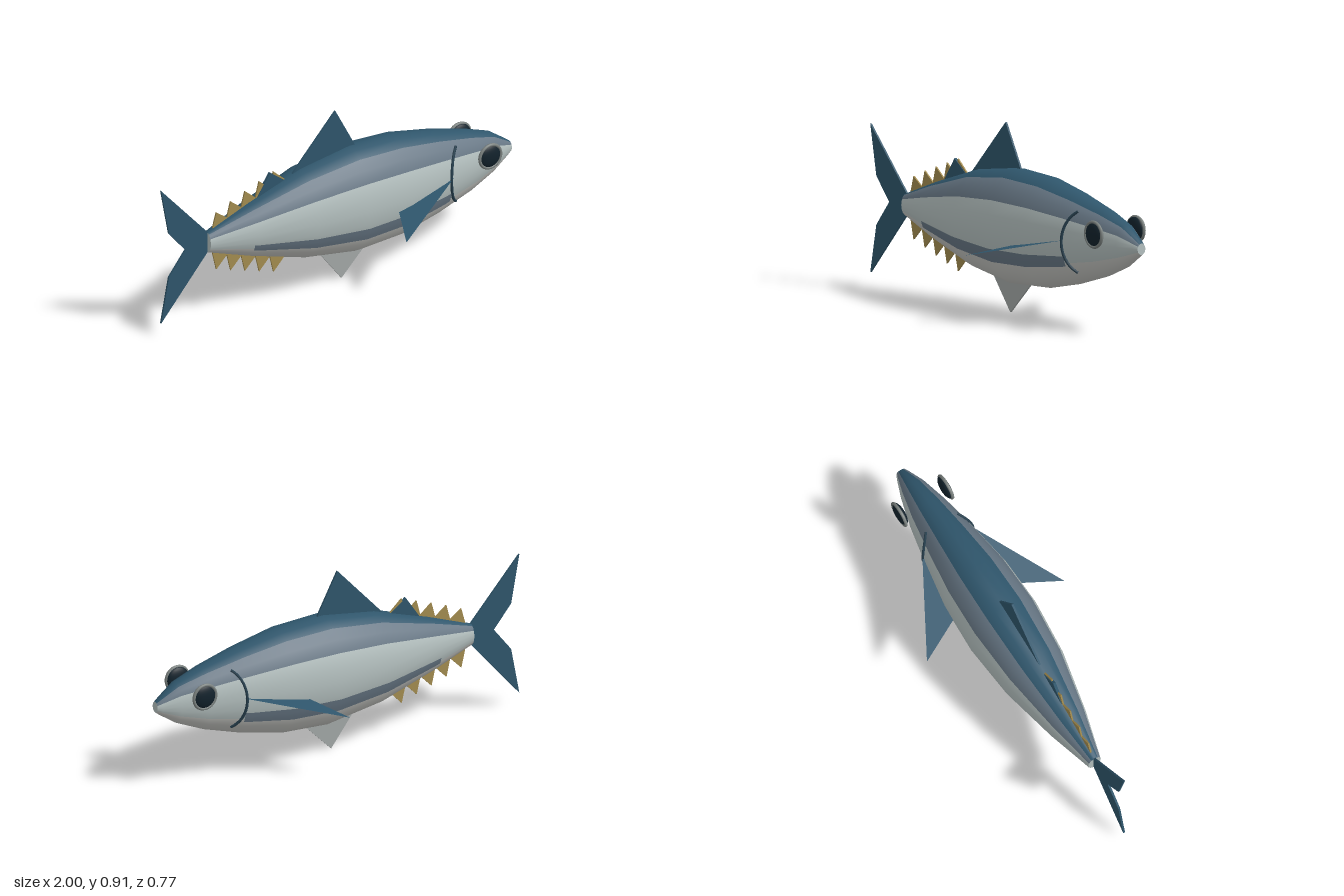
import * as THREE from 'three';

const mat = (name, color, side = THREE.FrontSide) => {
  const m = new THREE.MeshStandardMaterial({ color, side });
  m.name = name;
  return m;
};

// Body stations: x, top y, bottom y, half width
const STATIONS = [
  [-0.735, 0.478, 0.37, 0.035], [-0.5, 0.565, 0.285, 0.1], [-0.2, 0.66, 0.19, 0.163],
  [0.08, 0.7, 0.142, 0.187], [0.33, 0.685, 0.152, 0.177], [0.55, 0.638, 0.198, 0.143],
  [0.75, 0.582, 0.258, 0.105], [0.89, 0.53, 0.318, 0.068], [0.975, 0.468, 0.375, 0.036],
  [1.0, 0.448, 0.393, 0.024],
];

function section(x) {
  let i = 0;
  while (i < STATIONS.length - 2 && x > STATIONS[i + 1][0]) i++;
  const a = STATIONS[i], b = STATIONS[i + 1];
  const t = (x - a[0]) / (b[0] - a[0]);
  const [top, bottom, w] = [1, 2, 3].map((k) => a[k] + (b[k] - a[k]) * t);
  return { cy: (top + bottom) / 2, h: (top - bottom) / 2, w };
}

// Point on the skin; angle in degrees from the top, growing toward +z
function skin(x, deg, out = 0) {
  const { cy, h, w } = section(x), a = THREE.MathUtils.degToRad(deg);
  return new THREE.Vector3(x, cy + (h + out) * Math.cos(a), (w + out) * Math.sin(a));
}

// Skin patch over lists of x and angle; bandOf gives a material index for each column
function skinPatch(xs, degs, out, closed, bandOf) {
  const g = new THREE.BufferGeometry(), pos = [], idx = [], n = xs.length;
  degs.forEach((d) => xs.forEach((x) => pos.push(...skin(x, d, out).toArray())));
  const cols = closed ? degs.length : degs.length - 1;
  for (let j = 0; j < cols; j++) {
    const k = (j + 1) % degs.length;
    if (bandOf) g.addGroup(idx.length, (n - 1) * 6, bandOf(degs[j]));
    for (let i = 0; i < n - 1; i++) {
      const p = j * n + i, q = k * n + i;
      idx.push(p, q, p + 1, q, q + 1, p + 1);
    }
  }
  g.setAttribute('position', new THREE.Float32BufferAttribute(pos, 3));
  g.setIndex(idx);
  g.computeVertexNormals();
  return g;
}

export function createModel() {
  const fish = new THREE.Group();
  fish.name = 'fish';
  const blue = mat('deep blue', 0x2f566c, THREE.DoubleSide);
  const slate = mat('slate', 0x687886);
  const silver = mat('silver', 0xb4c0bf);
  const pale = mat('pale belly', 0xc3c4c0);
  const finGrey = mat('fin grey', 0xa3a8a7);
  const gold = mat('gold', 0xa48d50);
  const gillBlue = mat('gill blue', 0x27404f);
  const black = mat('eye black', 0x12222c);
  const rimGrey = mat('rim grey', 0x7b8280);

  const add = (name, geo, material, parent = fish) => {
    const m = new THREE.Mesh(geo, material);
    m.name = name;
    parent.add(m);
    return m;
  };

  // Body in colour bands
  const degs = Array.from({ length: 24 }, (_, i) => i * 15);
  const band = (d) => {
    const a = Math.abs(d + 7.5 > 180 ? 360 - d - 7.5 : d + 7.5);
    return a < 30 ? 0 : a < 60 ? 1 : a < 120 ? 2 : 3;
  };
  const xs = STATIONS.map((s) => s[0]);
  add('body', skinPatch(xs, degs, 0, true, band), [blue, slate, silver, pale]);
  for (const [name, x, dir] of [['noseCap', 1, 1], ['tailCap', -0.735, -1]]) {
    const { cy, h, w } = section(x);
    const cap = add(name, new THREE.CircleGeometry(1, 24), silver);
    cap.scale.set(w, h, 1);
    cap.rotation.y = dir * Math.PI / 2;
    cap.position.set(x, cy, 0);
  }

  // Upright fins: thin extrusions centred on z = 0
  const fin = (name, pts, material, depth = 0.01, parent = fish) => {
    const shape = new THREE.Shape(pts.map((p) => new THREE.Vector2(...p)));
    const geo = new THREE.ExtrudeGeometry(shape, { depth, bevelEnabled: false });
    geo.translate(0, 0, -depth / 2);
    return add(name, geo, material, parent);
  };
  fin('tailFin', [[-1, 0.78], [-0.955, 0.535], [-0.86, 0.42], [-0.955, 0.3], [-1, 0.065],
    [-0.73, 0.375], [-0.73, 0.475]], blue);
  fin('dorsalFin', [[-0.27, 0.62], [0, 0.91], [0.115, 0.69], [0.1, 0.66], [-0.2, 0.62]], blue);
  fin('secondDorsalFin', [[-0.47, 0.55], [-0.375, 0.69], [-0.27, 0.61]], blue, 0.014);
  fin('pelvicFin', [[-0.1, 0.18], [0.035, 0], [0.195, 0.16]], finGrey);

  // Rows of finlets above and below the tail stem
  const finlets = new THREE.Group();
  finlets.name = 'finlets';
  fish.add(finlets);
  for (let i = 0; i < 5; i++) {
    const x = -0.682 + i * 0.082, x0 = x - 0.026, x1 = x + 0.076;
    const a = section(x0), b = section(x1);
    const rise = 0.567 + 0.123 * Math.pow(i / 4, 0.9);
    const drop = 0.262 - 0.112 * Math.pow(i / 4, 0.95);
    fin('upperFinlet', [[x0, a.cy + a.h - 0.015], [x, rise], [x1, b.cy + b.h - 0.015]], gold, 0.008, finlets);
    fin('lowerFinlet', [[x0, a.cy - a.h + 0.015], [x, drop], [x1, b.cy - b.h + 0.015]], gold, 0.008, finlets);
  }

  for (const s of [1, -1]) {
    const side = s > 0 ? 'right' : 'left';

    // Lower side stripe
    const stripeX = [-0.52, ...xs.filter((x) => x > -0.52 && x < 0.58), 0.58];
    const stripeA = s > 0 ? [109, 114, 119, 124] : [236, 241, 246, 251];
    add(side + 'Stripe', skinPatch(stripeX, stripeA, 0.004, false), slate);

    // Gill line following the skin
    const arc = [];
    for (let i = -6; i <= 6; i++) {
      arc.push(skin(0.575 + 0.06 * (i / 6) ** 2, s * (90 + (i / 6) * 48), 0.003));
    }
    add(side + 'Gill', new THREE.TubeGeometry(new THREE.CatmullRomCurve3(arc), 32, 0.007, 6), gillBlue);

    // Swept pectoral fin
    const geo = new THREE.BufferGeometry();
    geo.setAttribute('position', new THREE.Float32BufferAttribute(
      [0.6, 0.43, s * 0.13, 0.25, 0.365, s * 0.175, 0.15, 0.325, s * 0.385], 3));
    geo.setIndex(s > 0 ? [0, 1, 2] : [0, 2, 1]);
    geo.computeVertexNormals();
    add(side + 'PectoralFin', geo, blue);

    // Eye with a rim
    const eye = new THREE.Group();
    eye.name = side + 'Eye';
    eye.position.set(0.803, 0.48, s * 0.126);
    fish.add(eye);
    add('eyeball', new THREE.SphereGeometry(0.06, 24, 16), black, eye).scale.z = 0.37;
    add('eyeRim', new THREE.TorusGeometry(0.06, 0.008, 8, 32), rimGrey, eye).position.z = s * 0.005;
  }
  return fish;
}
